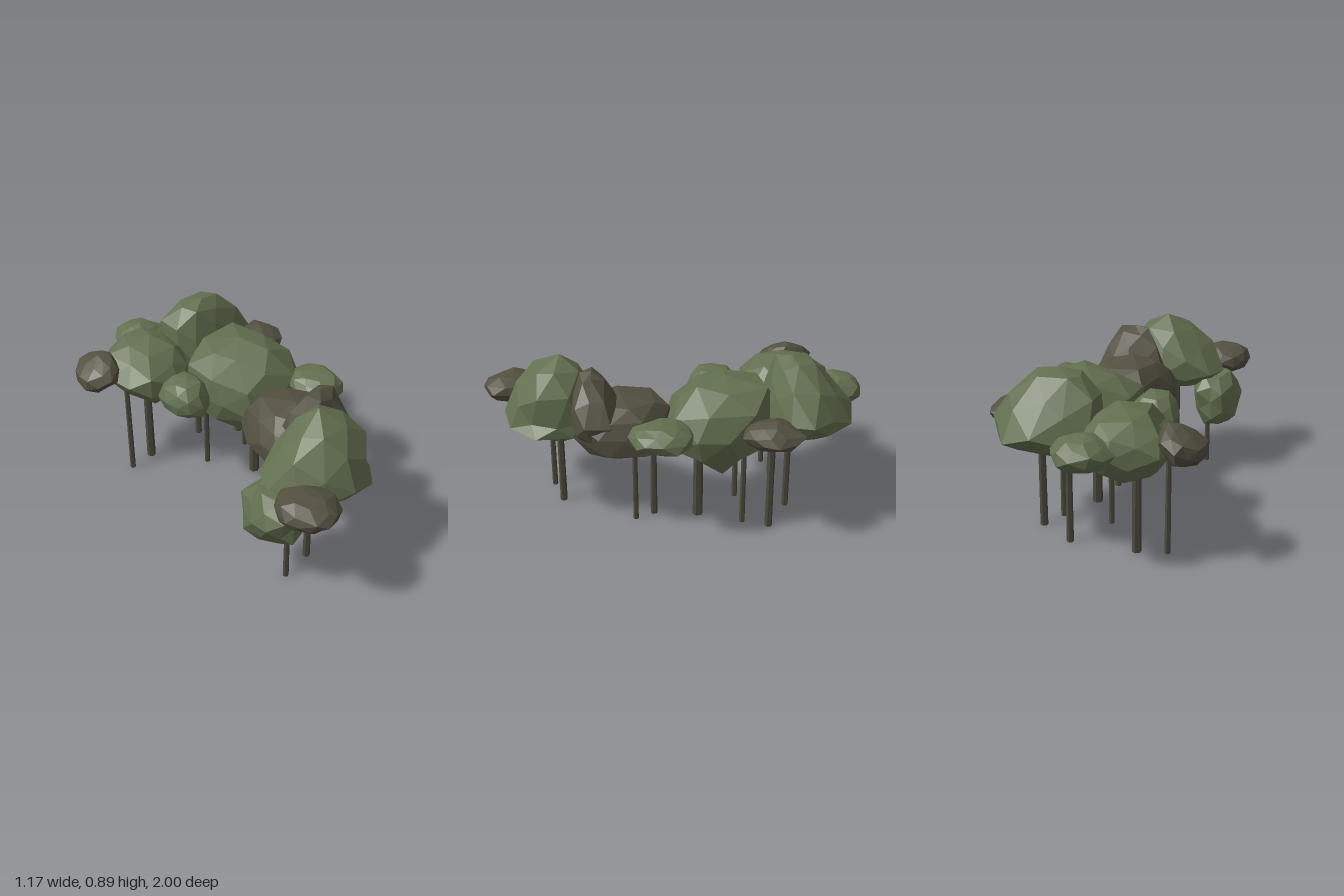
import * as THREE from 'three';

const material = (name, color) => {
  const m = new THREE.MeshStandardMaterial({ color, flatShading: true });
  m.name = name;
  return m;
};

// Repeatable jitter that is equal for coincident corners
const hash = (x, y, z, seed) => {
  const s = Math.sin(x * 12.99 + y * 78.23 + z * 37.72 + seed * 9.17) * 43758.55;
  return s - Math.floor(s);
};

// Faceted leaf clump filling a box. waist: height of the widest ring;
// lean: x and z shift of the crown; taper: narrowing of the crown and of the underside
function clumpGeometry([x0, x1], [y0, y1], [z0, z1], waist, seed, lean = [0, 0], taper = [0, 0]) {
  const geo = new THREE.IcosahedronGeometry(1, 1);
  const pos = geo.attributes.position;
  const v = new THREE.Vector3();
  const q = (n) => Math.round(n * 100) / 100 + 0;
  for (let i = 0; i < pos.count; i++) {
    v.fromBufferAttribute(pos, i);
    const [a, b, c] = [q(v.x), q(v.y), q(v.z)];
    v.multiplyScalar(0.91 + 0.15 * hash(a, b, c, seed));
    v.x += 0.18 * (hash(b, c, a, seed + 3) - 0.5);
    v.z += 0.18 * (hash(c, a, b, seed + 7) - 0.5);
    pos.setXYZ(i, v.x, v.y, v.z);
  }
  geo.computeBoundingBox();
  const { min, max } = geo.boundingBox;
  const unit = (n, lo, hi) => (2 * (n - lo)) / (hi - lo) - 1;
  for (let i = 0; i < pos.count; i++) {
    const x = unit(pos.getX(i), min.x, max.x);
    const y = unit(pos.getY(i), min.y, max.y);
    const z = unit(pos.getZ(i), min.z, max.z);
    const up = Math.max(0, y);
    const narrow = 1 - (y > 0 ? taper[0] : taper[1]) * Math.abs(y);
    const fit = (n) => Math.max(-1, Math.min(1, n * narrow));
    pos.setXYZ(i,
      (x0 + x1) / 2 + (fit(x) * (x1 - x0)) / 2 + lean[0] * up,
      waist + y * (y > 0 ? y1 - waist : waist - y0),
      (z0 + z1) / 2 + (fit(z) * (z1 - z0)) / 2 + lean[1] * up);
  }
  geo.computeVertexNormals();
  return geo;
}

export function createModel() {
  const group = new THREE.Group();
  const green = material('leaf green', 0x626f4f);
  const brown = material('dry leaf brown', 0x535041);
  const bark = material('bark', 0x4b4a3c);

  // Leaf clumps: name, material, x range, y range, z range, waist, lean, taper
  const clumps = [
    ['frontCanopy', green, [-0.36, 0.19], [0.47, 0.88], [0.39, 0.88], 0.58, [0.04, -0.03], [0.25, -0.1]],
    ['frontTip', brown, [-0.46, -0.18], [0.51, 0.67], [0.66, 1.0], 0.59],
    ['frontLowClump', green, [-0.46, -0.19], [0.24, 0.58], [0.45, 0.77], 0.42, [0, 0], [-0.2, -0.35]],
    ['bridgeClump', brown, [-0.15, 0.32], [0.37, 0.71], [0.03, 0.55], 0.55, [0, 0], [0, -0.3]],
    ['bridgeCrown', brown, [-0.08, 0.3], [0.42, 0.84], [0.27, 0.56], 0.6, [0, 0.02], [0.3, 0]],
    ['rightClump', green, [0.25, 0.51], [0.52, 0.67], [-0.04, 0.28], 0.6],
    ['middleCanopy', green, [-0.14, 0.43], [0.31, 0.8], [-0.48, 0.08], 0.55, [0, -0.06], [0, -0.1]],
    ['leftClump', green, [-0.34, -0.08], [0.49, 0.7], [-0.38, -0.08], 0.59],
    ['rearRightCanopy', green, [-0.08, 0.48], [0.48, 0.89], [-0.89, -0.42], 0.62, [-0.06, 0.07], [0.35, 0]],
    ['rearLeftCanopy', green, [-0.44, 0.06], [0.4, 0.76], [-0.87, -0.34], 0.58, [0, 0], [0, -0.1]],
    ['rearTip', green, [-0.23, 0.08], [0.5, 0.69], [-1.0, -0.7], 0.6],
    ['rearLeftTip', brown, [-0.59, -0.36], [0.52, 0.72], [-0.83, -0.52], 0.63, [0.06, 0], [0.3, 0]],
    ['rearRightTip', brown, [0.3, 0.58], [0.53, 0.68], [-0.57, -0.27], 0.6],
  ];
  clumps.forEach(([name, mat, x, y, z, waist, lean, taper], i) => {
    const mesh = new THREE.Mesh(clumpGeometry(x, y, z, waist, i + 1, lean, taper), mat);
    mesh.name = name;
    group.add(mesh);
  });

  // Trunks: x, z, radius, height
  const trunks = [
    [-0.09, 0.605, 0.019, 0.6], [-0.265, 0.65, 0.015, 0.4],
    [0.15, 0.23, 0.014, 0.5], [0.105, 0.13, 0.018, 0.5],
    [0.14, -0.1, 0.027, 0.5], [0.245, -0.32, 0.015, 0.5],
    [-0.02, -0.325, 0.015, 0.55], [0.3, -0.45, 0.02, 0.58],
    [0.105, -0.58, 0.018, 0.6], [-0.237, -0.575, 0.024, 0.5],
    [-0.383, -0.545, 0.015, 0.58],
  ];
  trunks.forEach(([x, z, r, h], i) => {
    const mesh = new THREE.Mesh(new THREE.CylinderGeometry(r * 0.88, r, h, 6), bark);
    mesh.name = `trunk${i + 1}`;
    mesh.position.set(x, h / 2, z);
    group.add(mesh);
  });

  return group;
}
